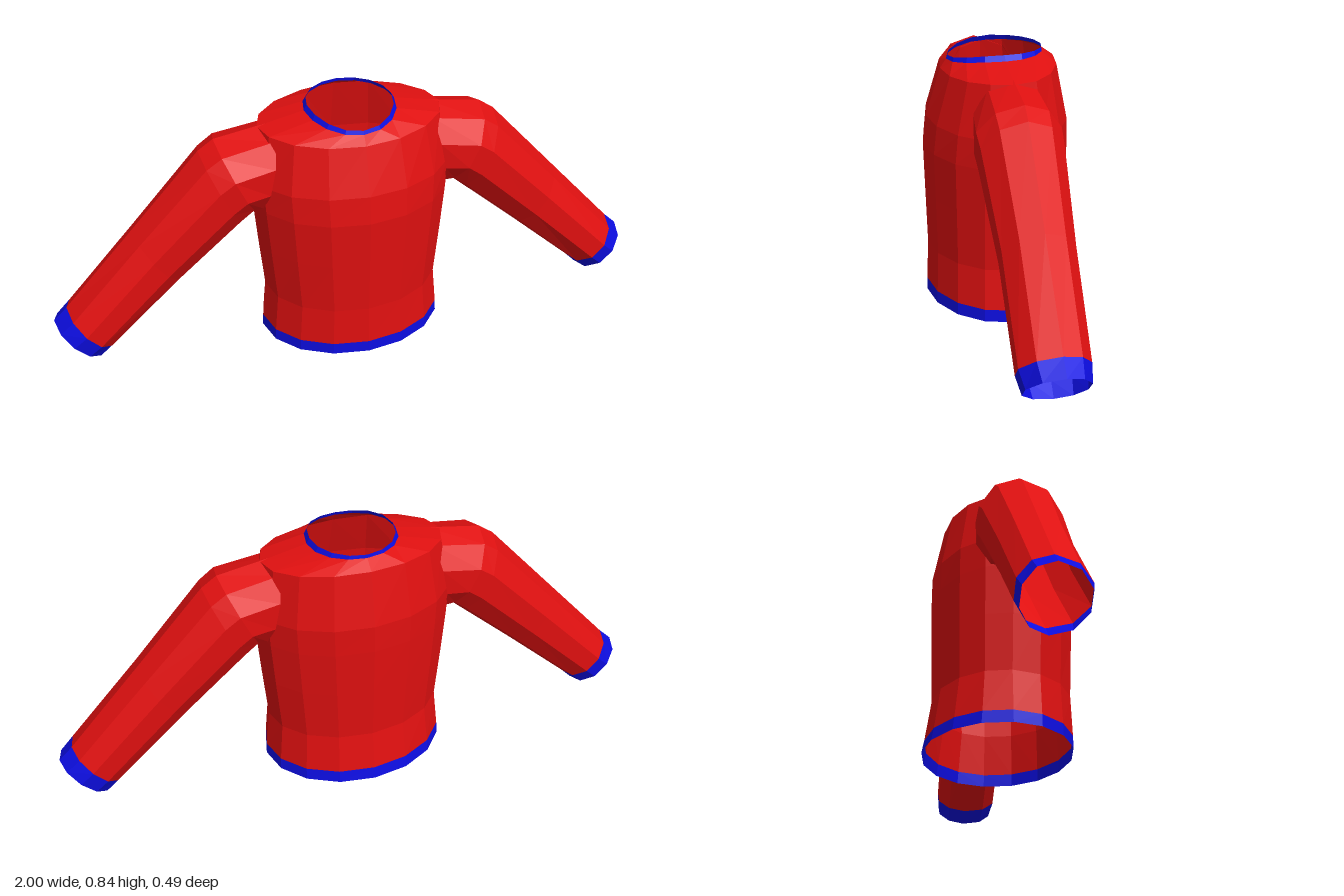
import * as THREE from 'three';

const mat = (name, color) => {
  const m = new THREE.MeshStandardMaterial({ color, flatShading: true, side: THREE.DoubleSide });
  m.name = name;
  return m;
};

// Skin an open tube over a list of rings with equal point counts
function loft(name, rings, material) {
  const n = rings[0].length, index = [];
  for (let i = 0; i < rings.length - 1; i++) {
    for (let j = 0; j < n; j++) {
      const k = (j + 1) % n, a = i * n + j, b = i * n + k;
      index.push(a, b, b + n, a, b + n, a + n);
    }
  }
  const g = new THREE.BufferGeometry();
  g.setAttribute('position', new THREE.Float32BufferAttribute(rings.flat(2), 3));
  g.setIndex(index);
  g.computeVertexNormals();
  const mesh = new THREE.Mesh(g, material);
  mesh.name = name;
  return mesh;
}

// Horizontal ring: half width, front and back depth, height at side, front and back
function bodyRing([hx, zf, zb, y, yf = y, yb = y], n = 16) {
  return Array.from({ length: n }, (_, j) => {
    const a = (j / n) * Math.PI * 2, s = -Math.sin(a);
    const end = s > 0 ? yf : yb;
    return [hx * Math.cos(a), y + (end - y) * s * s, s * (s > 0 ? zf : zb)];
  });
}

// Sleeve ring: upper point, lower point, front and back depth; side mirrors it
function sleeveRing([tx, ty, bx, by, zf, zb], side, n = 10) {
  return Array.from({ length: n }, (_, j) => {
    const a = (j / n) * Math.PI * 2, c = Math.cos(a), s = Math.sin(a) * side;
    return [
      side * ((tx + bx) / 2 + (c * (tx - bx)) / 2),
      (ty + by) / 2 + (c * (ty - by)) / 2,
      s * (s > 0 ? zf : zb),
    ];
  });
}

export function createModel() {
  const model = new THREE.Group();
  model.name = 'sweater';
  const red = mat('red knit', 0xe01010);
  const blue = mat('blue trim', 0x0d0de0);
  const body = (name, rows, m) => model.add(loft(name, rows.map((r) => bodyRing(r)), m));

  // Torso from hem to neckline
  const hemTop = [0.308, 0.239, 0.236, 0.04];
  const neck = [0.148, 0.165, 0.147, 0.82, 0.8, 0.825];
  body('hem', [[0.31, 0.24, 0.244, 0], hemTop], blue);
  body('torso', [
    hemTop,
    [0.295, 0.234, 0.215, 0.175],
    [0.312, 0.24, 0.22, 0.36],
    [0.325, 0.245, 0.223, 0.52],
    [0.33, 0.234, 0.222, 0.615],
    [0.3, 0.185, 0.185, 0.787, 0.77, 0.798],
    neck,
  ], red);
  body('collar', [neck, [0.138, 0.16, 0.145, 0.838, 0.812, 0.836]], blue);

  // Sleeves with cuffs
  const cuffTop = [0.955, 0.215, 0.818, 0.068, 0.12, 0.098];
  const sleeve = [
    [0.25, 0.797, 0.31, 0.5, 0.13, 0.12],
    [0.44, 0.765, 0.325, 0.51, 0.145, 0.128],
    [0.49, 0.73, 0.37, 0.472, 0.14, 0.125],
    [0.72, 0.475, 0.58, 0.285, 0.12, 0.108],
    cuffTop,
  ];
  const cuff = [cuffTop, [1, 0.172, 0.855, 0.03, 0.108, 0.09]];
  for (const side of [1, -1]) {
    const label = side > 0 ? 'left' : 'right';
    model.add(loft(label + 'Sleeve', sleeve.map((r) => sleeveRing(r, side)), red));
    model.add(loft(label + 'Cuff', cuff.map((r) => sleeveRing(r, side)), blue));
  }
  return model;
}
